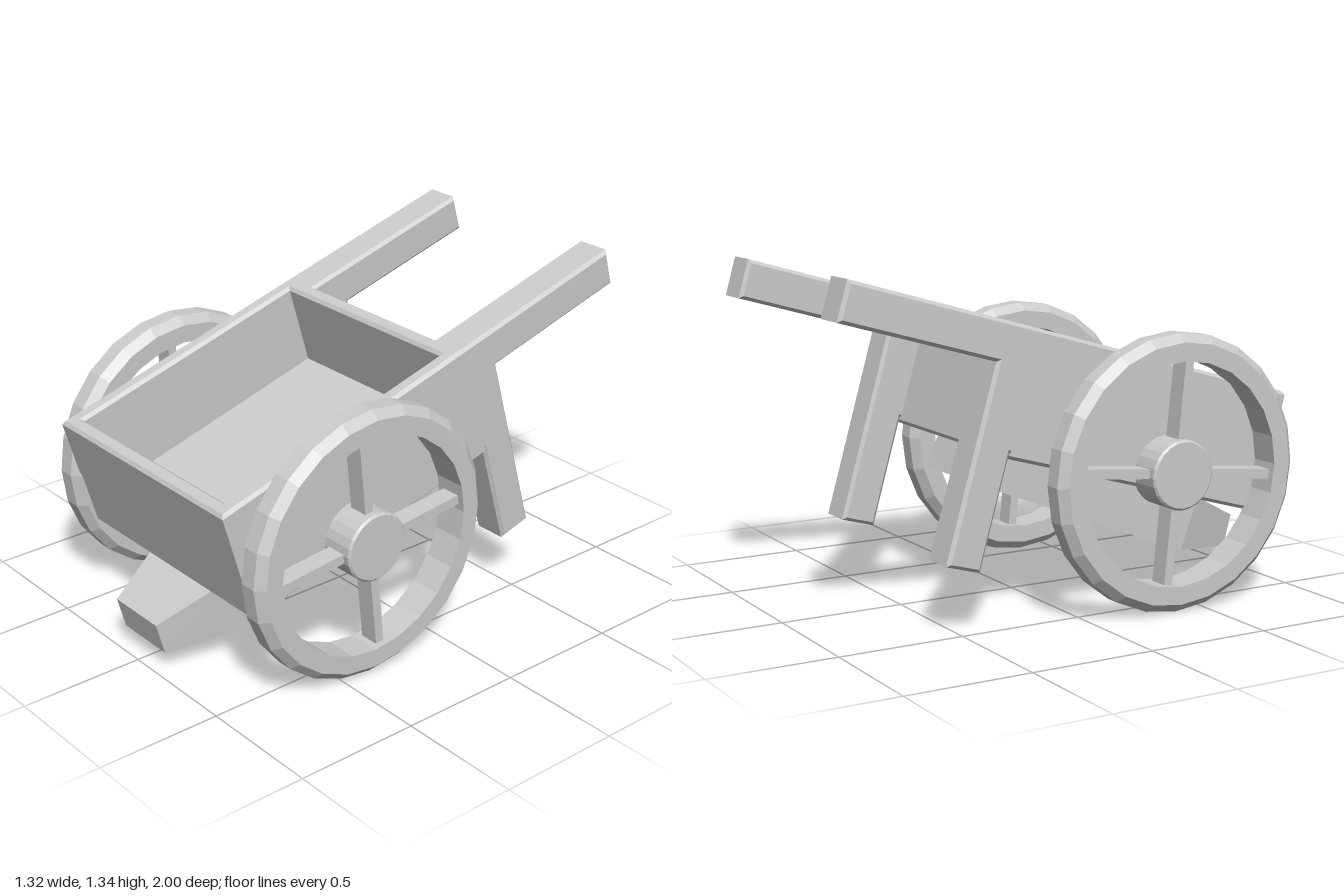
import * as THREE from 'three';
import { ConvexGeometry } from 'three/addons/geometries/ConvexGeometry.js';

const material = new THREE.MeshStandardMaterial({ color: 0xcccccc, flatShading: true });

function add(parent, name, geometry) {
  const mesh = new THREE.Mesh(geometry, material);
  mesh.name = name;
  parent.add(mesh);
  return mesh;
}

// Extrusion with chamfered edges that stays inside the given outline and depth (0..depth)
function chamfered(shape, depth, b) {
  const g = new THREE.ExtrudeGeometry(shape, {
    depth: depth - 2 * b, bevelThickness: b, bevelSize: b, bevelOffset: -b, bevelSegments: 1,
  });
  return g.translate(0, 0, b);
}

const points = (list) => list.map(([x, y]) => new THREE.Vector2(x, y));

const HALF = 0.517, LENGTH = 1.18, HEIGHT = 0.49, WALL = 0.065, BEVEL = 0.013;

// Box, handles and legs, built level with the front top edge as origin, then tilted
function createBody() {
  const body = new THREE.Group();
  body.name = 'body';

  // Four walls as one chamfered frame
  const frame = new THREE.Shape(points([[-HALF, 0], [HALF, 0], [HALF, LENGTH], [-HALF, LENGTH]]));
  const inner = HALF - WALL;
  frame.holes.push(new THREE.Path(points([
    [-inner, WALL], [-inner, LENGTH - WALL], [inner, LENGTH - WALL], [inner, WALL],
  ])));
  add(body, 'boxWalls', chamfered(frame, HEIGHT, BEVEL).rotateX(-Math.PI / 2).translate(0, -HEIGHT, 0));

  // Floor closing the frame
  const floor = add(body, 'boxFloor', new THREE.BoxGeometry(
    2 * (inner + BEVEL), 0.14, LENGTH - 2 * WALL + 2 * BEVEL));
  floor.position.set(0, -HEIGHT + 0.07, -LENGTH / 2);

  // Handle and leg in one piece, on each side
  const profile = new THREE.Shape(points([
    [1.13, 0], [1.13, -0.47], [LENGTH, -0.47], [LENGTH, -0.92],
    [1.325, -0.92], [1.325, -0.155], [1.98, -0.155], [1.98, 0],
  ]));
  const width = 0.155;
  for (const [name, x] of [['leftHandleAndLeg', HALF - width], ['rightHandleAndLeg', -HALF]]) {
    add(body, name, chamfered(profile, width, BEVEL).rotateY(Math.PI / 2).translate(x, 0, 0));
  }

  body.position.set(-0.015, 0.795, 0.95);
  body.rotation.x = THREE.MathUtils.degToRad(16);
  return body;
}

// Spoked wheel with its axis along x
function createWheel(name) {
  const wheel = new THREE.Group();
  wheel.name = name;
  const w = 0.067, c = 0.033;
  const rim = points([
    [0.435, -w], [0.507, -w], [0.54, -w + c], [0.54, w - c], [0.507, w], [0.435, w], [0.435, -w],
  ]);
  add(wheel, 'rim', new THREE.LatheGeometry(rim, 24).rotateZ(Math.PI / 2));

  const hub = points([[0, -0.073], [0.128, -0.073], [0.136, -0.065], [0.136, 0.065], [0.128, 0.073], [0, 0.073]]);
  add(wheel, 'hub', new THREE.LatheGeometry(hub, 24).rotateZ(Math.PI / 2));

  for (let i = 0; i < 4; i++) {
    const spoke = new THREE.BoxGeometry(0.08, 0.36, 0.037).translate(0, 0.27, 0);
    add(wheel, 'spoke', spoke).rotation.x = 0.1 + i * Math.PI / 2;
  }
  return wheel;
}

// Tapered beam under the box: nose, shoulder and tail sections
function createBeam() {
  const sections = [
    { half: 0.13, top: [0.21, 1.0], bottom: [0.08, 0.965] },
    { half: 0.207, top: [0.325, 0.77], bottom: [0.11, 0.69] },
    { half: 0.207, top: [0.615, -0.215], bottom: [0.49, -0.27] },
  ];
  const corners = [];
  for (const { half, top, bottom } of sections) {
    for (const side of [-1, 1]) {
      for (const [y, z] of [top, bottom]) corners.push(new THREE.Vector3(0.005 + side * half, y, z));
    }
  }
  return new ConvexGeometry(corners);
}

export function createModel() {
  const model = new THREE.Group();
  model.name = 'handcart';
  model.add(createBody());
  add(model, 'underBeam', createBeam());
  for (const [name, x] of [['leftWheel', 0.588], ['rightWheel', -0.588]]) {
    const wheel = createWheel(name);
    wheel.position.set(x, 0.54, 0.37);
    model.add(wheel);
  }
  return model;
}
